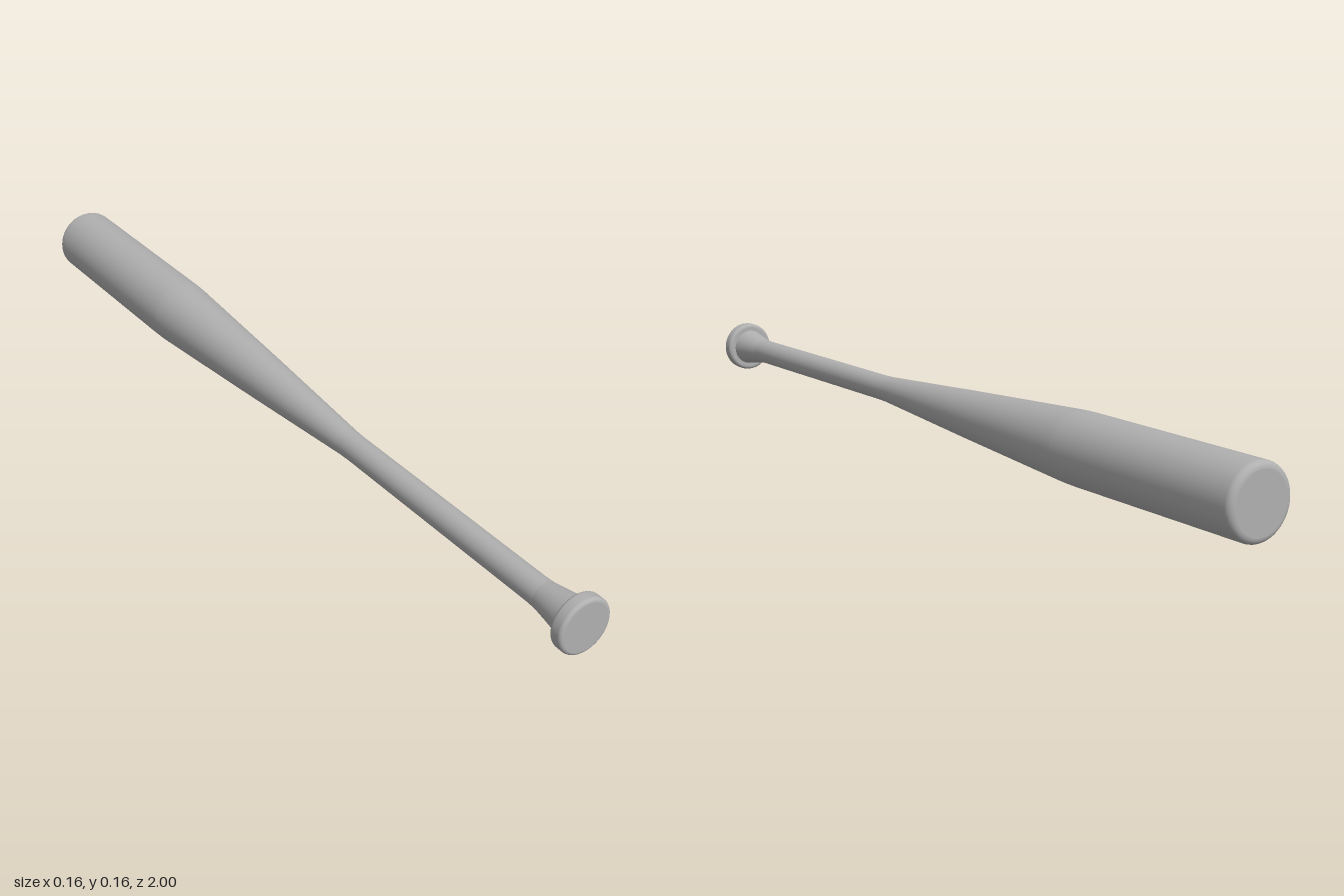
import * as THREE from 'three';

const SIDES = 64;
const AXIS_Y = 0.079;

// Quarter-round edge as [radius, z] points around a centre
function roundEdge(cr, cz, r, from, to, steps = 5) {
  return Array.from({ length: steps + 1 }, (_, i) => {
    const a = from + (to - from) * i / steps;
    return [cr + r * Math.cos(a), cz + r * Math.sin(a)];
  });
}

export function createModel() {
  const model = new THREE.Group();
  model.name = 'bat';
  const grey = new THREE.MeshStandardMaterial({ color: 0xb0b0b0 });
  grey.name = 'grey';

  // Turned part: profile of [radius, z] points, from back to front
  function turned(name, profile) {
    const geo = new THREE.LatheGeometry(profile.map(([r, z]) => new THREE.Vector2(r, z)), SIDES);
    geo.rotateX(Math.PI / 2);
    const mesh = new THREE.Mesh(geo, grey);
    mesh.name = name;
    mesh.position.y = AXIS_Y;
    model.add(mesh);
  }

  const q = Math.PI / 2;

  // Barrel with rounded end
  turned('barrelEnd', [[0, -1], [0.064, -1]]);
  turned('barrel', [
    ...roundEdge(0.064, -0.986, 0.014, -q, 0),
    [0.078, -0.97], [0.078, -0.51], [0.0775, -0.48],
  ]);

  // Taper, handle and flare toward the knob
  turned('taper', [[0.0775, -0.48], [0.0765, -0.46], [0.054, -0.1], [0.033, 0.21], [0.031, 0.24]]);
  turned('handle', [[0.031, 0.24], [0.03, 0.27], [0.03, 0.86], [0.031, 0.885]]);
  turned('flare', [[0.031, 0.885], [0.037, 0.925], [0.045, 0.97]]);

  // Knob
  turned('knobBack', [[0.04, 0.968], [0.054, 0.968]]);
  turned('knob', [
    ...roundEdge(0.054, 0.976, 0.008, -q, 0),
    ...roundEdge(0.054, 0.992, 0.008, 0, q),
  ]);
  turned('knobFace', [[0.054, 1], [0, 1]]);

  return model;
}
